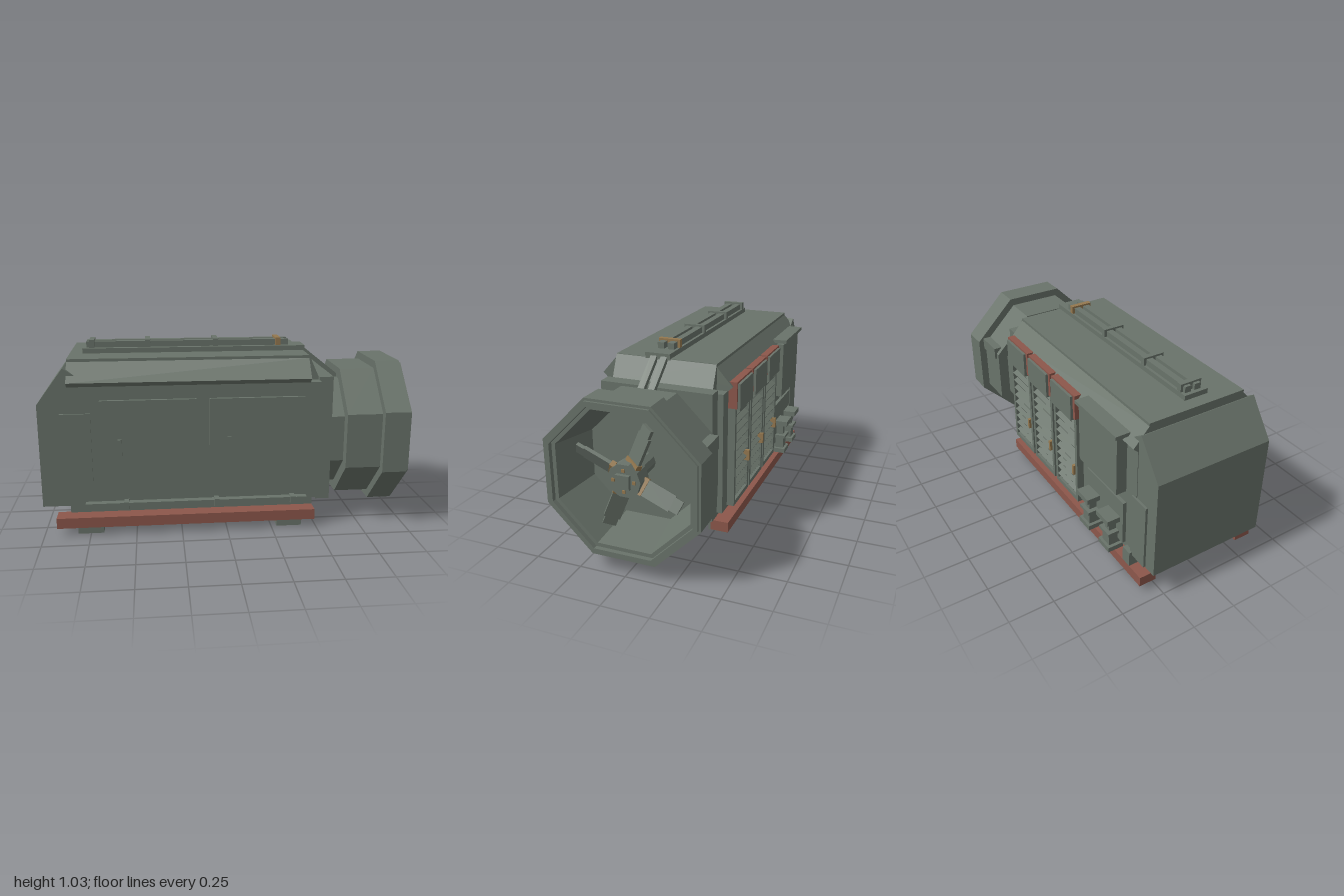
import * as THREE from 'three';

export function createModel() {
  const root = new THREE.Group();
  root.name = 'generatorUnit';
  const mat = (name, color) => {
    const m = new THREE.MeshStandardMaterial({ color, flatShading: true });
    m.name = name;
    return m;
  };
  const green = mat('fieldGreen', 0x69736a);
  const red = mat('oxideRed', 0x8c574b);
  const brass = mat('brass', 0x94784f);
  const C = 0.0125; // z of the machine's centre plane

  const add = (name, geo, m = green, parent = root) => {
    const mesh = new THREE.Mesh(geo, m);
    mesh.name = name;
    parent.add(mesh);
    return mesh;
  };
  // Box given by its limits on each axis
  const box = (name, x0, x1, y0, y1, z0, z1, m = green, parent = root) => {
    const mesh = add(name, new THREE.BoxGeometry(x1 - x0, y1 - y0, z1 - z0), m, parent);
    mesh.position.set((x0 + x1) / 2, (y0 + y1) / 2, (z0 + z1) / 2);
    return mesh;
  };
  const extrude = (pts, depth) => {
    const s = new THREE.Shape(pts.map(p => new THREE.Vector2(p[0], p[1])));
    return new THREE.ExtrudeGeometry(s, { depth, bevelEnabled: false });
  };

  // Skid: rails, cross beams and feet
  for (const s of [1, -1]) {
    const z = C + s * 0.3155;
    box('skidRail', -0.93, 0.49, 0.045, 0.103, z - 0.049, z + 0.049, red);
    for (const x of [-0.75, 0.35]) {
      const f = C + s * 0.282;
      box('foot', x - 0.07, x + 0.07, 0, 0.06, f - 0.055, f + 0.055);
    }
  }
  for (const x of [-0.75, 0.35])
    box('crossBeam', x - 0.04, x + 0.04, 0.035, 0.072, C - 0.27, C + 0.27);

  // Housing
  box('plinth', -0.86, 0.49, 0.098, 0.17, C - 0.28, C + 0.28);
  box('body', -0.84, 0.51, 0.165, 0.825, C - 0.338, C + 0.338);
  add('nose', extrude([[-1, 0.165], [-0.8, 0.165], [-0.8, 0.885], [-0.857, 0.922], [-1, 0.73]], 0.67))
    .position.z = C - 0.335;
  add('roofCore', extrude([[-0.8, 0.8], [0.515, 0.8], [0.51, 0.83], [0.452, 0.958], [-0.8, 0.958]], 0.56))
    .position.z = C - 0.28;
  const canopy = extrude([[-0.335, 0.82], [0.335, 0.82], [0.365, 0.848], [0.28, 0.945],
    [0.28, 0.96], [-0.28, 0.96], [-0.28, 0.945], [-0.365, 0.848]], 1.29);
  canopy.rotateY(Math.PI / 2);
  add('canopy', canopy).position.set(-0.84, 0, C);

  // Front doors and handles
  box('accessPanel', -0.885, -0.725, 0.285, 0.68, 0.34, 0.36);
  for (const [x0, x1, h] of [[-0.675, -0.165, -0.575], [-0.095, 0.42, 0.01]]) {
    box('door', x0, x1, 0.237, 0.75, 0.34, 0.37);
    box('doorHandle', h - 0.011, h + 0.011, 0.45, 0.54, 0.365, 0.385);
  }
  // Lower front conduit with clips
  box('conduit', -0.77, 0.44, 0.162, 0.186, 0.345, 0.389);
  for (const x of [-0.55, -0.06, 0.36])
    box('conduitClip', x - 0.013, x + 0.013, 0.155, 0.195, 0.345, 0.403);

  // Roof conduits, clamps and sloping struts
  box('roofTray', -0.77, 0.46, 0.955, 0.987, -0.016, 0.122);
  for (const z of [0.074, 0.017]) {
    box('roofConduit', -0.75, 0.37, 0.985, 1.02, z - 0.018, z + 0.018);
    const a = new THREE.Vector2(0.44, 0.972), b = new THREE.Vector2(0.67, 0.79);
    const strut = add('roofStrut', new THREE.BoxGeometry(a.distanceTo(b), 0.025, 0.035));
    strut.position.set((a.x + b.x) / 2, (a.y + b.y) / 2, z);
    strut.rotation.z = Math.atan2(b.y - a.y, b.x - a.x);
  }
  for (const x of [-0.72, -0.415, -0.04, 0.31])
    box('roofClamp', x - 0.014, x + 0.014, 0.985, 1.03, -0.015, 0.107, x > 0 ? brass : green);

  // Louvre bays on the back
  for (const x0 of [-0.337, -0.072, 0.191]) {
    const x1 = x0 + 0.246;
    const bay = new THREE.Group();
    bay.name = 'louvreBay';
    root.add(bay);
    box('bayHood', x0, x1, 0.73, 0.872, -0.372, -0.32, red, bay);
    box('hoodPlate', x0 + 0.02, x1 - 0.012, 0.72, 0.862, -0.386, -0.36, green, bay);
    for (const x of [x0, x1 - 0.022])
      box('louvreFrame', x, x + 0.022, 0.19, 0.73, -0.365, -0.32, green, bay);
    box('louvreSill', x0, x1, 0.18, 0.205, -0.365, -0.32, green, bay);
    for (let i = 0; i < 10; i++) {
      const slat = add('louvreSlat', new THREE.BoxGeometry(0.21, 0.012, 0.045), green, bay);
      slat.position.set((x0 + x1) / 2, 0.24 + i * 0.051, -0.343);
      slat.rotation.x = -0.5;
    }
    box('louvreLatch', x0 + 0.02, x0 + 0.037, 0.36, 0.42, -0.378, -0.345, brass, bay);
  }

  // Control cabinet with awning, valve plate and side plate
  box('cabinetDoor', -0.75, -0.4, 0.53, 0.86, -0.384, -0.32);
  box('cabinetAwning', -0.767, -0.39, 0.87, 0.89, -0.402, -0.32);
  box('valvePlate', -0.755, -0.41, 0.2, 0.46, -0.345, -0.32);
  box('sidePlate', -0.93, -0.81, 0.17, 0.55, -0.335, -0.31);
  box('cableBox', -0.83, -0.77, 0.1, 0.19, -0.352, -0.3);

  // Twin valves
  for (const x of [-0.675, -0.48]) {
    const valve = new THREE.Group();
    valve.name = 'valve';
    valve.position.set(x, 0, 0);
    root.add(valve);
    box('valveBase', -0.05, 0.05, 0.14, 0.168, -0.41, -0.32, green, valve);
    box('valveBody', -0.032, 0.032, 0.165, 0.24, -0.395, -0.32, green, valve);
    box('valveCollar', -0.045, 0.045, 0.238, 0.256, -0.408, -0.33, green, valve);
    box('valveStem', -0.02, 0.02, 0.25, 0.33, -0.388, -0.345, green, valve);
    box('valveCap', -0.055, 0.055, 0.325, 0.355, -0.42, -0.32, green, valve);
  }

  // Radiator frame and stepped eight-sided fan shroud: [x, distance to flat]
  box('radiatorFrame', 0.505, 0.582, 0.145, 0.845, C - 0.308, C + 0.308);
  const profile = [[0.575, 0], [0.575, 0.305], [0.655, 0.305], [0.655, 0.365], [0.85, 0.365],
    [0.85, 0.408], [0.988, 0.408], [0.988, 0.395], [1, 0.395], [1, 0.37], [0.975, 0.37],
    [0.975, 0.35], [0.7, 0.305], [0.7, 0]];
  const shroud = new THREE.LatheGeometry(
    profile.map(([x, a]) => new THREE.Vector2(a / Math.cos(Math.PI / 8), x)), 8, Math.PI / 8);
  shroud.rotateZ(-Math.PI / 2);
  add('fanShroud', shroud).position.set(0, 0.493, C);
  box('shroudBox', 0.68, 0.92, 0.61, 0.68, -0.365, -0.28);

  // Fan: shaft, hub, bolts and four pitched blades
  const fan = new THREE.Group();
  fan.name = 'fan';
  fan.position.set(0, 0.493, C);
  root.add(fan);
  const round = (name, r, x0, x1, n) => {
    const g = new THREE.CylinderGeometry(r, r, x1 - x0, n);
    g.rotateZ(-Math.PI / 2);
    add(name, g, green, fan).position.x = (x0 + x1) / 2;
  };
  round('fanShaft', 0.05, 0.69, 0.88, 10);
  round('fanHub', 0.088, 0.86, 0.95, 10);
  box('hubCap', 0.94, 0.97, -0.036, 0.036, -0.036, 0.036, green, fan);
  for (let i = 0; i < 4; i++) {
    const arm = new THREE.Group();
    arm.name = 'fanArm';
    arm.rotation.x = -0.4 - i * Math.PI / 2;
    fan.add(arm);
    const pitch = new THREE.Group();
    pitch.name = 'blade';
    pitch.position.x = 0.905;
    pitch.rotation.y = -0.5;
    arm.add(pitch);
    box('bladePlate', -0.009, 0.009, 0.09, 0.25, -0.042, 0.042, green, pitch);
    box('bladeTip', -0.009, 0.009, 0.245, 0.295, -0.034, 0.034, green, pitch);
    box('bladeRoot', -0.016, 0.016, 0.075, 0.1, -0.045, 0.045, brass, pitch);
    const t = i * Math.PI / 2;
    const y = 0.055 * Math.cos(t), z = 0.055 * Math.sin(t);
    box('hubBolt', 0.945, 0.957, y - 0.008, y + 0.008, z - 0.008, z + 0.008, brass, fan);
  }
  return root;
}
